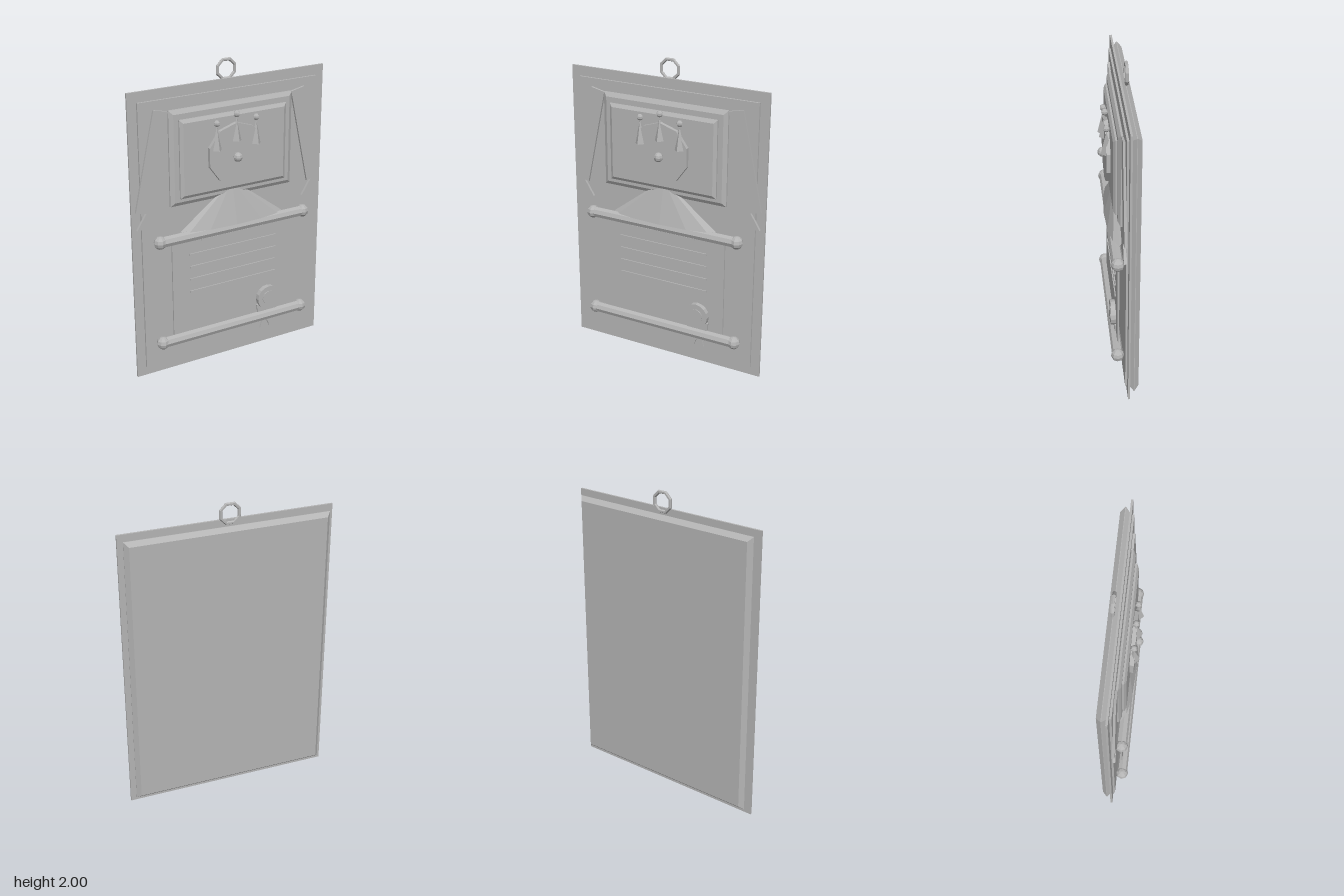
import * as THREE from 'three';

export function createModel() {
  const model = new THREE.Group();
  const grey = new THREE.MeshStandardMaterial({ color: 0xb4b4b4, flatShading: true });
  grey.name = 'plain grey';

  const add = (name, geometry, x = 0, y = 0, z = 0) => {
    const mesh = new THREE.Mesh(geometry, grey);
    mesh.name = name;
    mesh.position.set(x, y, z);
    model.add(mesh);
    return mesh;
  };
  // Box given by its centre, size and back/front depths
  const slab = (name, x, y, w, h, z0, z1) =>
    add(name, new THREE.BoxGeometry(w, h, z1 - z0), x, y, (z0 + z1) / 2);
  // Rectangle with chamfered edges, w and h being the outer size
  const bevelled = (name, y, w, h, z0, z1, bevel, flat) => {
    const a = w / 2 - bevel, b = h / 2 - bevel;
    const shape = new THREE.Shape([[-a, -b], [a, -b], [a, b], [-a, b]].map(p => new THREE.Vector2(...p)));
    const thick = (z1 - z0 - flat) / 2;
    const geometry = new THREE.ExtrudeGeometry(shape, {
      depth: flat, bevelEnabled: true, bevelThickness: thick, bevelSize: bevel, bevelSegments: 1,
    });
    return add(name, geometry, 0, y, z0 + thick);
  };
  // Flat outline in x and y, extruded from z0 to z1
  const plate = (name, points, z0, z1) => {
    const shape = new THREE.Shape(points.map(p => new THREE.Vector2(...p)));
    return add(name, new THREE.ExtrudeGeometry(shape, { depth: z1 - z0, bevelEnabled: false }), 0, 0, z0);
  };
  // Disc facing the front
  const disc = (name, x, y, r, z0, z1, sides) =>
    add(name, new THREE.CylinderGeometry(r, r, z1 - z0, sides).rotateX(Math.PI / 2), x, y, (z0 + z1) / 2);

  // Backing board
  bevelled('backBody', 0.945, 1.3, 1.81, -0.106, -0.046, 0.026, 0.004);
  slab('backPlate', 0, 0.942, 1.36, 1.884, -0.048, -0.035);
  slab('innerPlate', 0, 0.94, 1.24, 1.76, -0.036, -0.022);

  // Hanging ring
  add('hangingRing', new THREE.TorusGeometry(0.063, 0.011, 6, 8).rotateZ(Math.PI / 8), 0, 1.931, -0.077);

  // Framed panel
  bevelled('outerFrame', 1.445, 0.86, 0.61, -0.034, 0.008, 0.025, 0.012);
  bevelled('innerFrame', 1.44, 0.745, 0.5, -0.005, 0.032, 0.02, 0.012);

  // Medallion with boss and three spikes
  disc('medallion', 0, 1.432, 0.197, 0.028, 0.057, 10);
  add('boss', new THREE.SphereGeometry(0.03, 8, 6), 0, 1.412, 0.068);
  for (const [x, y] of [[-0.137, 1.475], [0, 1.515], [0.137, 1.475]]) {
    add('spike', new THREE.ConeGeometry(0.035, 0.15, 4), x, y + 0.075, 0.052);
    add('spikeBall', new THREE.SphereGeometry(0.021, 6, 5), x, y + 0.168, 0.052);
  }

  // Side ribbons with tassels
  for (const s of [-1, 1]) {
    const ribbon = slab('sideRibbon', s * 0.545, 1.446, 0.098, 0.635, -0.024, -0.008);
    ribbon.rotation.z = s * 0.215;
    const tassel = [[-0.064, 1.03], [0.064, 1.03], [0, 1.132]].map(([x, y]) => [x + s * 0.592, y]);
    plate('tassel', tassel, -0.024, -0.006);
  }

  // Flattened cone of cloth above the scroll
  const drape = add('drape', new THREE.ConeGeometry(0.37, 0.28, 12), 0, 1.1, -0.004);
  drape.scale.z = 0.175;

  // Scroll sheet and its rods
  slab('scrollSheet', 0, 0.585, 0.87, 0.7, 0, 0.011);
  for (const y of [0.932, 0.232]) {
    add('scrollRod', new THREE.CylinderGeometry(0.035, 0.035, 1.04, 8).rotateZ(Math.PI / 2), 0, y, 0.017);
    for (const x of [-0.518, 0.518]) add('rodKnob', new THREE.SphereGeometry(0.042, 8, 6), x, y, 0.017);
  }

  // Raised lines on the sheet
  for (let i = 0; i < 5; i++) {
    slab('sheetLine', 0, 0.888 - i * 0.086, i ? 0.63 : 0.46, 0.012, 0.01, 0.018);
  }

  // Seal and its tails
  const tails = [[-0.08, 0.32], [-0.07, 0.26], [-0.035, 0.2], [-0.052, 0.14], [-0.02, 0.145], [0, 0.19]];
  const outline = [...tails, ...tails.slice(0, 5).reverse().map(([x, y]) => [-x, y])];
  plate('sealTails', outline.map(([x, y]) => [x + 0.255, y]), 0.011, 0.02);
  disc('seal', 0.255, 0.368, 0.082, 0.01, 0.042, 16);
  disc('sealCentre', 0.255, 0.368, 0.048, 0.04, 0.047, 16);

  return model;
}
